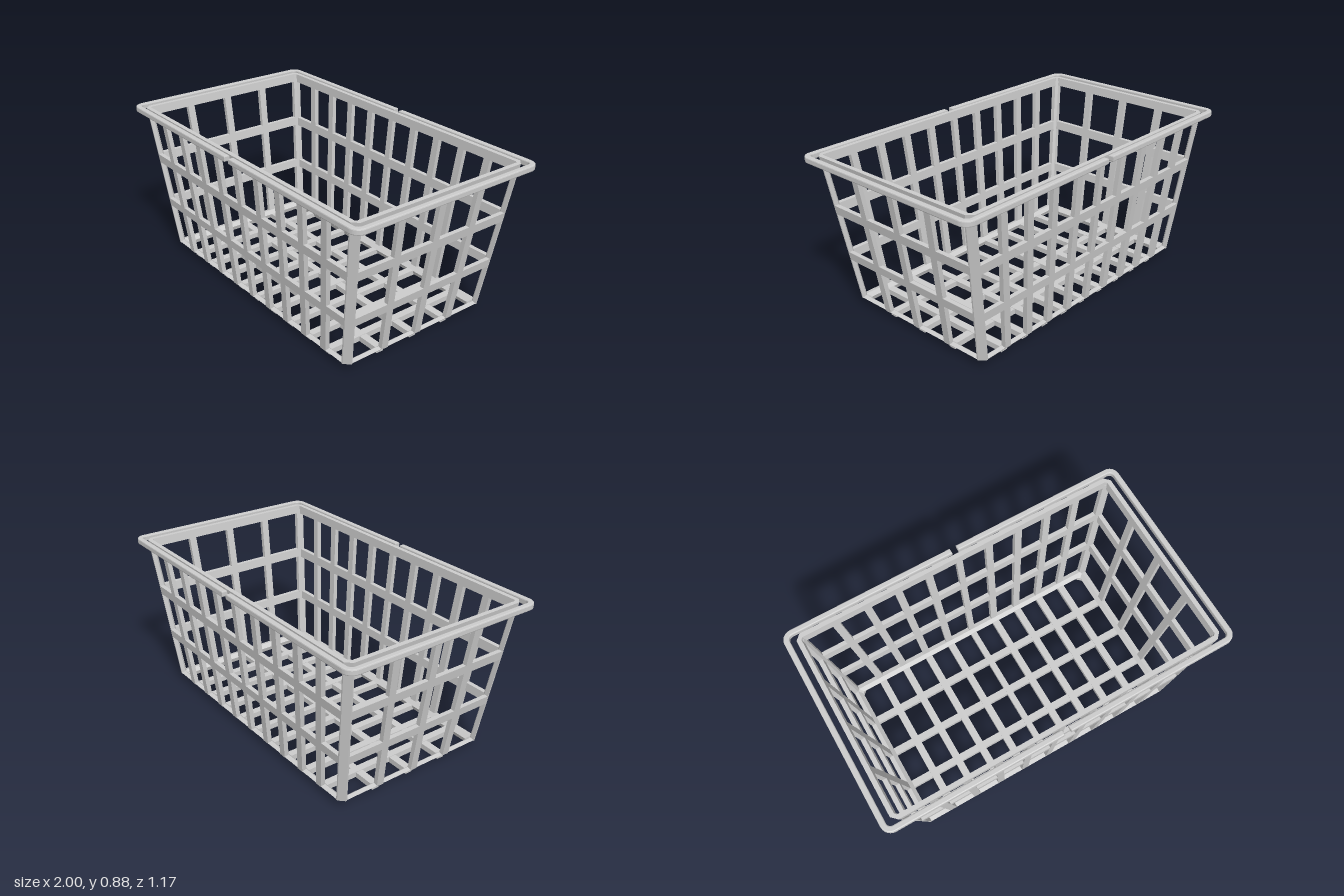
import * as THREE from 'three';

const material = new THREE.MeshStandardMaterial({ color: 0xcccccc, flatShading: true, side: THREE.DoubleSide });
const WALL = 0.025;

// Outer half sizes of the tapered basket at height y
const halfX = (y) => 0.81 + (y - 0.045) * 0.155;
const halfZ = (y) => 0.468 + (y - 0.045) * 0.09;

// Skin a row of equal cross-section loops, either joined end to end or capped
function loft(loops, joined = false) {
  const n = loops[0].length, index = [];
  const rows = joined ? loops.length : loops.length - 1;
  for (let i = 0; i < rows; i++) {
    const a = i * n, b = ((i + 1) % loops.length) * n;
    for (let j = 0; j < n; j++) {
      const k = (j + 1) % n;
      index.push(a + j, a + k, b + k, a + j, b + k, b + j);
    }
  }
  if (!joined) {
    const last = (loops.length - 1) * n;
    for (let j = 1; j < n - 1; j++) {
      index.push(0, j + 1, j, last, last + j, last + j + 1);
    }
  }
  // Turn the faces outwards if the enclosed volume is negative
  const points = loops.flat().map((p) => new THREE.Vector3(...p));
  let volume = 0;
  for (let i = 0; i < index.length; i += 3) {
    const [a, b, c] = [points[index[i]], points[index[i + 1]], points[index[i + 2]]];
    volume += a.dot(b.clone().cross(c));
  }
  if (volume < 0) index.reverse();
  const geometry = new THREE.BufferGeometry().setFromPoints(points);
  geometry.setIndex(index);
  geometry.computeVertexNormals();
  return geometry;
}

// Corners of a rectangle with cut corners
function octagon(hx, hz, cut, y) {
  const a = hx - cut, b = hz - cut;
  return [[hx, b], [a, hz], [-a, hz], [-hx, b], [-hx, -b], [-a, -hz], [a, -hz], [hx, -b]]
    .map(([x, z]) => [x, y, z]);
}

// Band around the basket; each profile corner is [inset, cut, height]
function band(profile) {
  const rings = profile.map(([inset, cut, y]) => octagon(halfX(y) - inset, halfZ(y) - inset, cut, y));
  return loft(rings[0].map((_, i) => rings.map((ring) => ring[i])), true);
}

const wallBand = (y0, y1) =>
  band([[0, 0.03, y0], [0, 0.03, y1], [WALL, 0.01, y1], [WALL, 0.01, y0]]);

export function createModel() {
  const basket = new THREE.Group();
  basket.name = 'basket';
  const add = (name, geometry) => {
    const mesh = new THREE.Mesh(geometry, material);
    mesh.name = name;
    basket.add(mesh);
    return mesh;
  };

  // Horizontal bands: bevelled foot, two middle bands and the rim
  add('bottomFrame', band([[0.034, 0.03, 0.005], [0, 0.03, 0.045], [WALL, 0.01, 0.05], [0.045, 0.01, 0.03]]));
  add('lowerBand', wallBand(0.283, 0.33));
  add('upperBand', wallBand(0.555, 0.605));
  add('rim', wallBand(0.832, 0.88));

  const heights = [0.04, 0.86];

  // Corner posts
  for (const sx of [-1, 1]) {
    for (const sz of [-1, 1]) {
      add('cornerPost', loft(heights.map((y) => {
        const x = halfX(y), z = halfZ(y);
        return [
          [x, z - 0.038], [x, z - 0.03], [x - 0.03, z], [x - 0.038, z],
          [x - 0.038, z - WALL], [x - WALL, z - 0.038],
        ].map(([px, pz]) => [sx * px, y, sz * pz]);
      })));
    }
  }

  // Fanned slats of the long walls, with floor slats running between them
  for (let i = -4; i <= 4; i++) {
    const w = i === 0 ? 0.018 : 0.021;
    for (const side of [-1, 1]) {
      add('longWallSlat', loft(heights.map((y) => {
        const x = i * 0.194 * halfX(y), z = halfZ(y);
        return [[x - w, z], [x + w, z], [x + w, z - WALL], [x - w, z - WALL]]
          .map(([px, pz]) => [px, y, side * pz]);
      })));
    }
    add('floorCrossSlat', new THREE.BoxGeometry(2 * w, 0.03, 0.87))
      .position.set(i * 0.156, 0.017, 0);
  }

  // Fanned slats of the short walls, with floor slats running between them
  for (let i = -1; i <= 1; i++) {
    const w = 0.021;
    for (const side of [-1, 1]) {
      add('shortWallSlat', loft(heights.map((y) => {
        const z = i * 0.475 * halfZ(y), x = halfX(y);
        return [[x, z - w], [x, z + w], [x - WALL, z + w], [x - WALL, z - w]]
          .map(([px, pz]) => [side * px, y, pz]);
      })));
    }
    add('floorLongSlat', new THREE.BoxGeometry(1.55, 0.03, 2 * w))
      .position.set(0, 0.015, i * 0.222);
  }

  // Two folded carrying handles lying around the rim, meeting at the middle
  const bevel = 0.006;
  const [x0, x1, z1, bar, r] = [0.018 + bevel, 1 - bevel, 0.585 - bevel, 0.031 - 2 * bevel, 0.05];
  const xi = x1 - bar, zi = z1 - bar, ri = r - bar;
  const shape = new THREE.Shape();
  shape.moveTo(x0, -z1);
  shape.lineTo(x1 - r, -z1);
  shape.absarc(x1 - r, -z1 + r, r, -Math.PI / 2, 0, false);
  shape.absarc(x1 - r, z1 - r, r, 0, Math.PI / 2, false);
  shape.lineTo(x0, z1);
  shape.lineTo(x0, zi);
  shape.absarc(xi - ri, zi - ri, ri, Math.PI / 2, 0, true);
  shape.absarc(xi - ri, -zi + ri, ri, 0, -Math.PI / 2, true);
  shape.lineTo(x0, -zi);
  const handle = new THREE.ExtrudeGeometry(shape, {
    depth: 0.032 - 2 * bevel, bevelThickness: bevel, bevelSize: bevel, bevelSegments: 2, curveSegments: 6,
  });
  handle.rotateX(-Math.PI / 2);
  handle.translate(0, 0.853 + bevel, 0);
  add('leftHandle', handle);
  add('rightHandle', handle.clone().rotateY(Math.PI));

  return basket;
}
